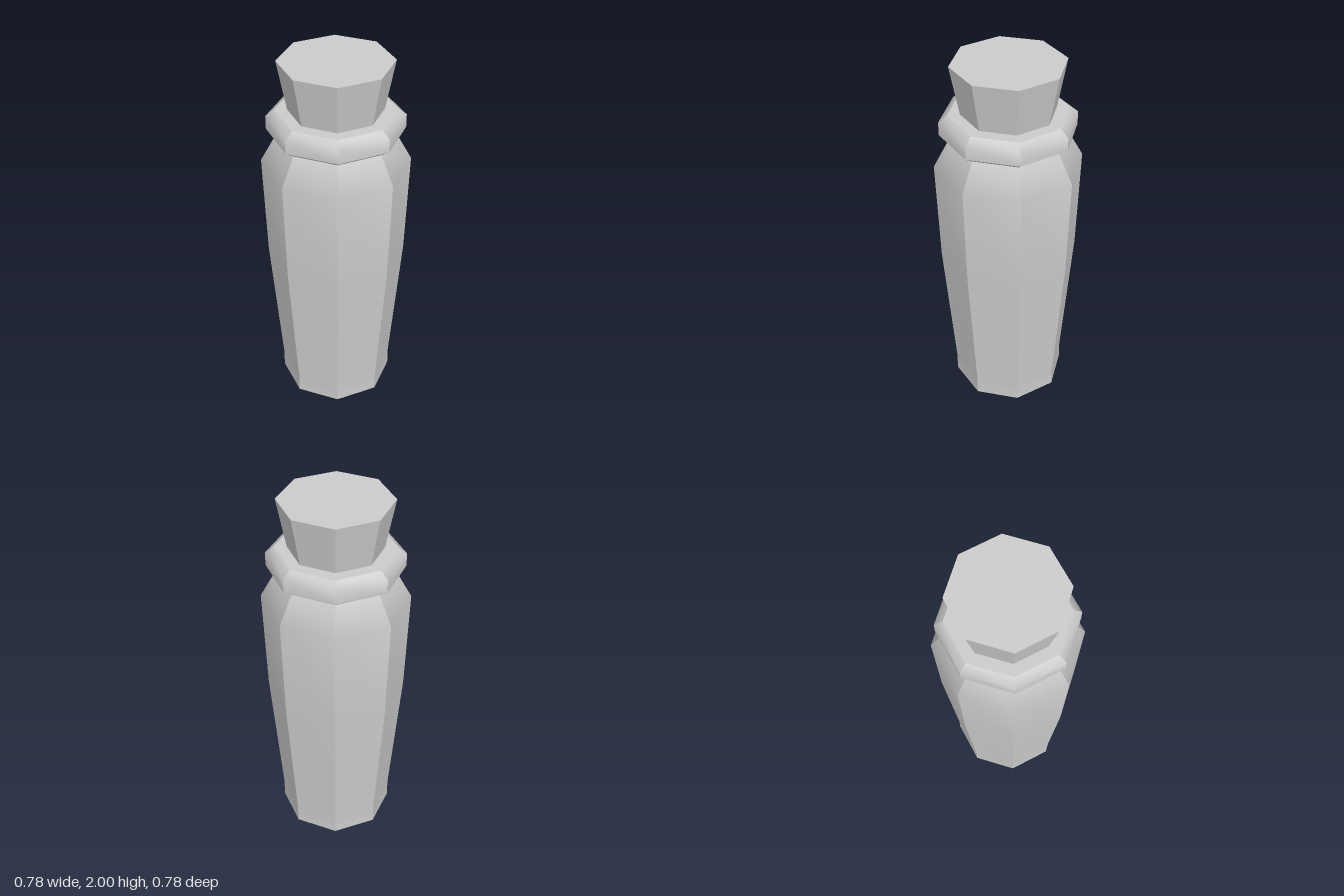
import * as THREE from 'three';
import { mergeGeometries } from 'three/addons/utils/BufferGeometryUtils.js';

const SIDES = 8;
const STEP = (Math.PI * 2) / SIDES;

// Turns profile strips of [radius, y] into eight facets. Shading is smooth
// along each strip, and sharp between facets and between strips.
function facetedTurning(...strips) {
  const facets = [];
  for (const strip of strips) {
    const points = strip.map(([r, y]) => new THREE.Vector2(r, y));
    for (let i = 0; i < SIDES; i++) {
      const facet = new THREE.LatheGeometry(points, 1, i * STEP, STEP);
      facet.computeVertexNormals();
      facets.push(facet);
    }
  }
  return mergeGeometries(facets);
}

export function createModel() {
  const group = new THREE.Group();
  group.name = 'stopperedBottle';
  const material = new THREE.MeshStandardMaterial({ color: 0xcccccc });

  const add = (name, ...strips) => {
    const mesh = new THREE.Mesh(facetedTurning(...strips), material);
    mesh.name = name;
    group.add(mesh);
  };

  // Tapered body with a straight foot and sloping shoulder
  add('body',
    [[0, 0], [0.31, 0]],
    [[0.31, 0], [0.31, 0.1], [0.372, 0.87], [0.39, 1.44], [0.307, 1.59]]);

  // Bevelled lip around the neck
  add('collar',
    [[0.307, 1.59], [0.357, 1.625]],
    [[0.357, 1.625], [0.357, 1.697], [0.312, 1.733]],
    [[0.312, 1.733], [0.235, 1.733]]);

  // Flared stopper, seated slightly inside the collar
  add('stopper',
    [[0, 1.7], [0.24, 1.7]],
    [[0.24, 1.7], [0.296, 2]],
    [[0.296, 2], [0, 2]]);

  return group;
}
